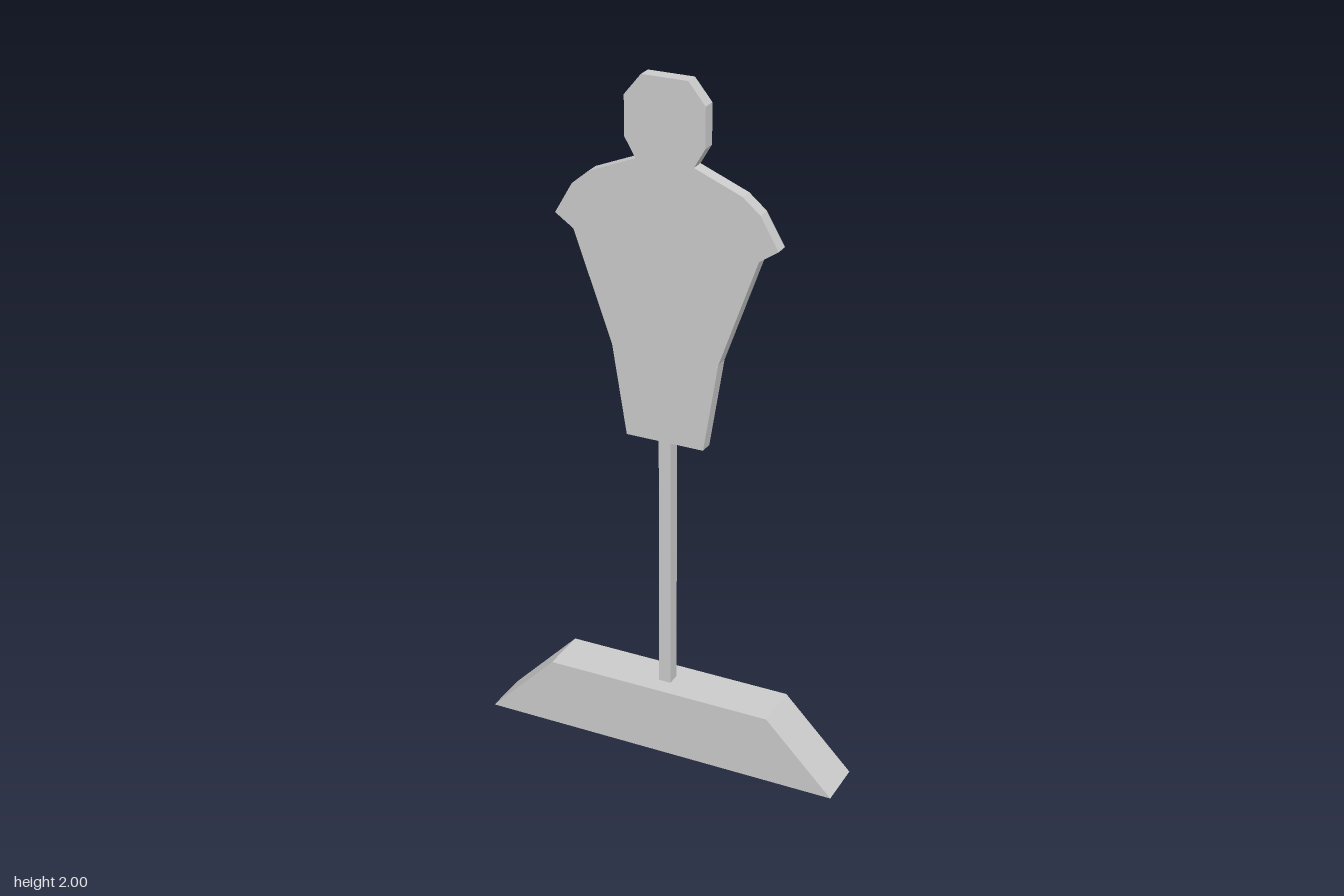
import * as THREE from 'three';

const material = new THREE.MeshStandardMaterial({ color: 0xcccccc, flatShading: true });

// Extrudes a left-right symmetric outline, given as its +x half from top to bottom.
function symmetricSlab(name, half, depth) {
  const mirrored = half.map(([x, y]) => [-x, y]).reverse();
  const shape = new THREE.Shape([...half, ...mirrored].map(([x, y]) => new THREE.Vector2(x, y)));
  const geometry = new THREE.ExtrudeGeometry(shape, { depth, bevelEnabled: false });
  geometry.translate(0, 0, -depth / 2);
  const mesh = new THREE.Mesh(geometry, material);
  mesh.name = name;
  return mesh;
}

export function createModel() {
  const group = new THREE.Group();
  group.name = 'standingTarget';

  // Flat head-and-torso panel
  group.add(symmetricSlab('silhouettePanel', [
    [0.066, 2], [0.115, 1.94], [0.115, 1.828], [0.083, 1.773],
    [0.22, 1.717], [0.27, 1.675], [0.322, 1.585], [0.268, 1.548],
    [0.157, 1.235], [0.115, 0.973],
  ], 0.04));

  // Square post between base and panel
  const bottom = 0.205, top = 0.973;
  const post = new THREE.Mesh(new THREE.BoxGeometry(0.036, top - bottom, 0.04), material);
  post.position.y = (top + bottom) / 2;
  post.name = 'post';
  group.add(post);

  // Trapezoid foot
  group.add(symmetricSlab('base', [[0.339, 0.205], [0.539, 0]], 0.143));

  return group;
}
